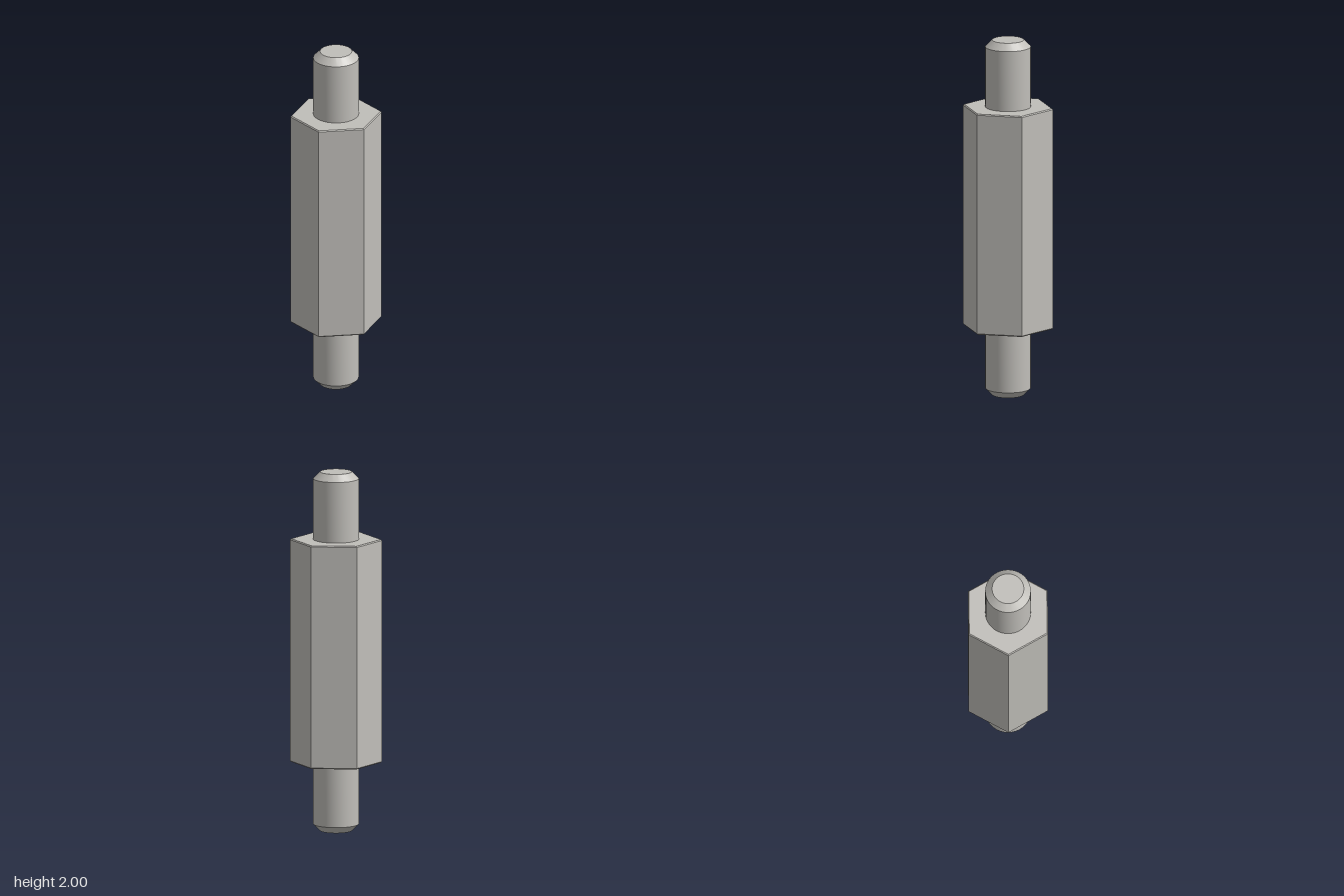
import * as THREE from 'three';
import { toCreasedNormals } from 'three/addons/utils/BufferGeometryUtils.js';

// Closed solid of revolution: profile of [radius, y] from bottom to top, sharp edges kept
function turned(name, profile, sides, material) {
  const points = profile.map(([r, y]) => new THREE.Vector2(r, y));
  const lathe = new THREE.LatheGeometry(points, sides, Math.PI / 2);
  const mesh = new THREE.Mesh(toCreasedNormals(lathe, 0.4), material);
  mesh.name = name;
  return mesh;
}

export function createModel() {
  const group = new THREE.Group();
  group.name = 'hexStandoff';

  const steel = new THREE.MeshStandardMaterial({ color: 0xc0beb9 });
  steel.name = 'brushed steel';

  // Six-sided body with a fine chamfer at both ends, corners on the x axis
  const R = 0.252, bottom = 0.38, top = 1.624, c = 0.006;
  group.add(turned('hexBody', [
    [0, bottom], [R - c, bottom], [R, bottom + c],
    [R, top - c], [R - c, top], [0, top],
  ], 6, steel));

  // Round studs with chamfered tips
  const r = 0.125, tip = 0.087, h = 0.038;
  group.add(turned('lowerStud', [
    [0, 0], [tip, 0], [r, h], [r, bottom], [0, bottom],
  ], 64, steel));
  group.add(turned('upperStud', [
    [0, top], [r, top], [r, 2 - h], [tip, 2], [0, 2],
  ], 64, steel));

  return group;
}
